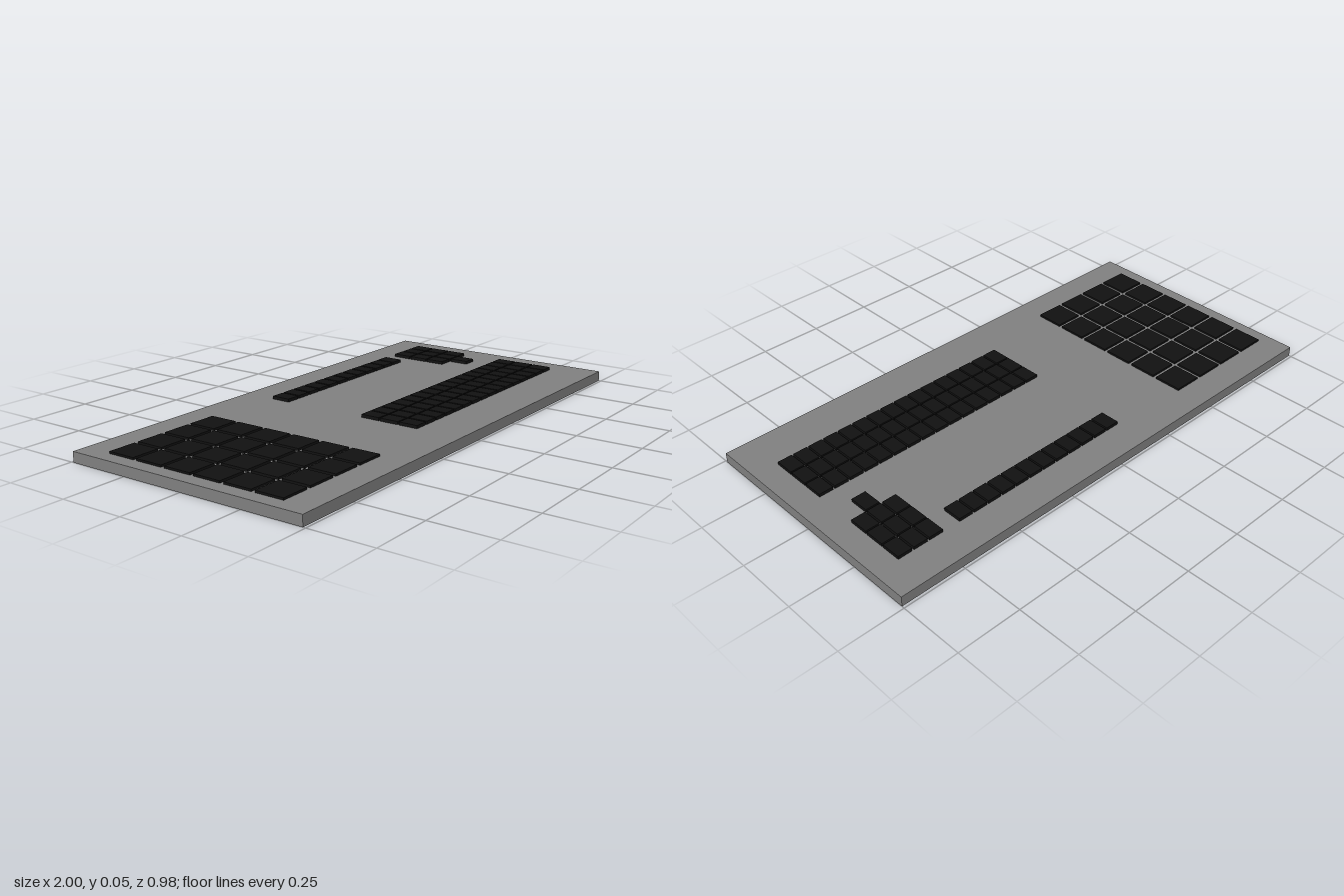
import * as THREE from 'three';

const SHEET_Y = 0.04;

export function createModel() {
  const model = new THREE.Group();
  model.name = 'keyPanel';
  const panelMat = new THREE.MeshStandardMaterial({ color: 0x808080, side: THREE.DoubleSide });
  const keyMat = new THREE.MeshStandardMaterial({ color: 0x111111 });

  // Thin tray: top sheet and four skirt walls, open underneath
  const trayGeo = new THREE.BoxGeometry(2, SHEET_Y, 0.98);
  const indices = Array.from(trayGeo.index.array);
  indices.splice(18, 6); // drop the underside
  trayGeo.setIndex(indices);
  trayGeo.clearGroups();
  const tray = new THREE.Mesh(trayGeo, panelMat);
  tray.name = 'panelTray';
  tray.position.y = SHEET_Y / 2;
  model.add(tray);

  // Block of keys that pass through the sheet; x and z give its back right-hand corner
  function keyBlock(name, { x, z, cols, rows, size, pitch }) {
    const [w, h, d] = size;
    const geo = new THREE.BoxGeometry(w, h, d);
    const block = new THREE.Group();
    block.name = name;
    for (let r = 0; r < rows; r++) {
      for (let c = 0; c < cols; c++) {
        const key = new THREE.Mesh(geo, keyMat);
        key.name = 'key';
        key.position.set(x + w / 2 + c * pitch[0], SHEET_Y, z + d / 2 + r * pitch[1]);
        block.add(key);
      }
    }
    model.add(block);
  }

  // Large flat keys
  keyBlock('largeKeys', {
    x: -0.945, z: -0.373, cols: 4, rows: 6, size: [0.113, 0.016, 0.112], pitch: [0.129, 0.127],
  });

  // Small keys share one grid
  const x0 = -0.122, z0 = -0.355;
  const small = { size: [0.057, 0.024, 0.077], pitch: [0.0645, 0.083] };
  keyBlock('functionKeys', { x: x0, z: z0, cols: 12, rows: 1, ...small });
  keyBlock('letterKeys', { x: x0, z: 0.065, cols: 16, rows: 3, ...small });
  keyBlock('numberKeys', { x: x0 + 13 * 0.0645, z: z0, cols: 3, rows: 3, ...small });
  keyBlock('zeroKey', { x: x0 + 14 * 0.0645, z: z0 + 3 * 0.083, cols: 1, rows: 1, ...small });

  return model;
}
